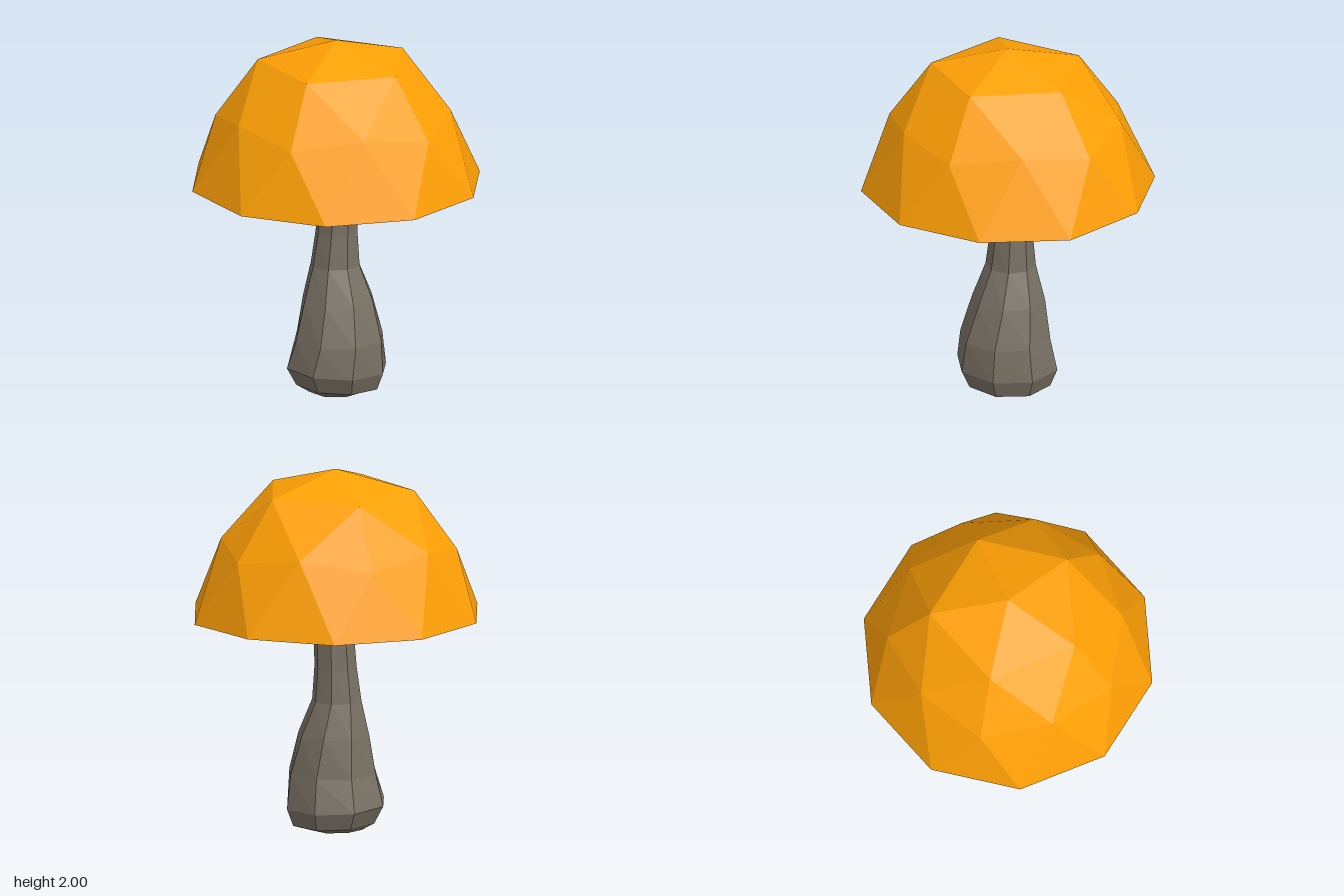
import * as THREE from 'three';

// Ring of n points around the y axis, first point at angle "start" (degrees, from +x towards +z)
function ring(n, r, y, start = 0, cx = 0, cz = 0) {
  return Array.from({ length: n }, (_, i) => {
    const a = THREE.MathUtils.degToRad(start) + (i / n) * Math.PI * 2;
    return new THREE.Vector3(cx + r * Math.cos(a), y, cz + r * Math.sin(a));
  });
}

const at = (points, i) => points[(i + points.length) % points.length];

// Quads between two equal rings; they face outward when the first ring is the lower one
function bridge(tris, low, high) {
  low.forEach((p, i) => {
    const q = at(low, i + 1), s = at(high, i + 1);
    tris.push([p, high[i], s], [p, s, q]);
  });
}

// Triangle fan closing a ring
function fan(tris, points, centre, up) {
  points.forEach((p, i) => {
    const q = at(points, i + 1);
    tris.push(up ? [centre, q, p] : [centre, p, q]);
  });
}

function facetedMesh(name, tris, color) {
  const geometry = new THREE.BufferGeometry().setFromPoints(tris.flat());
  geometry.computeVertexNormals();
  const mesh = new THREE.Mesh(geometry, new THREE.MeshStandardMaterial({ color, flatShading: true }));
  mesh.name = name;
  return mesh;
}

function createCap() {
  const tris = [];
  const apex = new THREE.Vector3(0, 2, 0);
  const crown = ring(5, 0.425, 1.88);
  const corners = ring(5, 0.655, 1.558);
  const middles = ring(5, 0.622, 1.617, 36);
  const rim = ring(10, 0.803, 1.198, 18);
  rim[0].y = 1.187;

  // Geodesic dome, one fifth at a time
  fan(tris, crown, apex, true);
  for (let i = 0; i < 5; i++) {
    const t0 = crown[i], t1 = at(crown, i + 1);
    const a0 = corners[i], a1 = at(corners, i + 1), m = middles[i];
    const r0 = at(rim, 2 * i - 1), r1 = rim[2 * i], r2 = rim[2 * i + 1];
    tris.push([t0, t1, m], [t0, m, a0], [t1, a1, m]);
    tris.push([a0, r1, r0], [a0, m, r1], [m, r2, r1], [m, a1, r2]);
  }

  // Shallow hollow underneath
  const hollow = [rim, ring(10, 0.665, 1.25, 18), ring(10, 0.34, 1.28, 18)];
  bridge(tris, hollow[1], hollow[0]);
  bridge(tris, hollow[2], hollow[1]);
  fan(tris, hollow[2], new THREE.Vector3(0, 1.285, 0), false);
  return facetedMesh('cap', tris, 0xffa005);
}

function createStem() {
  // y, radius, twist, centre x, centre z
  const rings = [
    [0.005, 0.15, 12, 0, 0],
    [0.045, 0.238, 14, 0.008, 0.007],
    [0.14, 0.282, 14, 0, 0.005],
    [0.315, 0.25, 11, 0.005, 0.025],
    [0.53, 0.2, 7, 0.01, 0.005],
    [0.72, 0.137, 3, 0.005, -0.015],
    [0.9, 0.117, 1, 0.012, -0.013],
    [1.2, 0.106, 0, 0.022, -0.003],
    [1.3, 0.104, 0, 0.022, 0],
  ].map(([y, r, twist, cx, cz]) => ring(8, r, y, twist, cx, cz));

  // The foot and bulge lean a little to one side
  for (const p of [...rings[1], ...rings[2]]) p.y -= p.x * 0.045;

  const tris = [];
  for (let i = 1; i < rings.length; i++) bridge(tris, rings[i - 1], rings[i]);
  fan(tris, rings[0], new THREE.Vector3(0, 0, 0), false);
  fan(tris, rings.at(-1), new THREE.Vector3(0.022, 1.3, 0), true);
  return facetedMesh('stem', tris, 0x787064);
}

export function createModel() {
  const model = new THREE.Group();
  model.name = 'mushroom';
  model.add(createCap(), createStem());
  return model;
}
